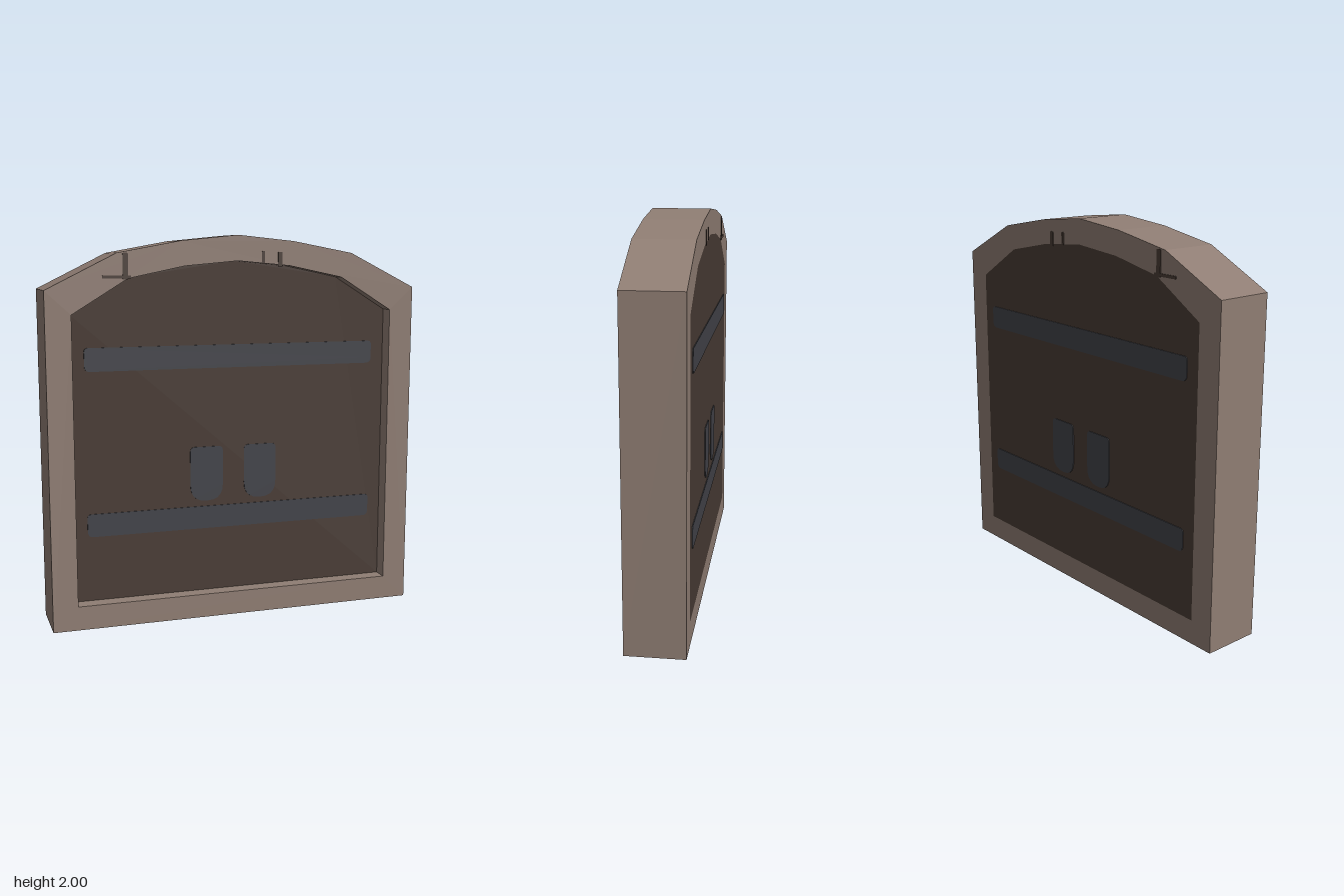
import * as THREE from 'three';

const HALF_DEPTH = 0.15; // half thickness of the frame
const DOOR_FRONT = 0.07; // door is recessed at the front, flush at the back
const PLATE = 0.004;

const mat = (name, color) => new THREE.MeshStandardMaterial({ name, color });

// Symmetric arched outline from the right half, listed from the bottom corner up to the crown
function archPoints(half) {
  const mirrored = half.slice(0, -1).reverse().map(([x, y]) => [-x, y]);
  return [...half, ...mirrored].map(([x, y]) => new THREE.Vector2(x, y));
}

// Rectangle with separate corner radii at the bottom and the top
function roundedShape(x0, y0, x1, y1, rBottom, rTop) {
  const s = new THREE.Shape();
  s.moveTo(x0 + rBottom, y0);
  s.lineTo(x1 - rBottom, y0);
  s.quadraticCurveTo(x1, y0, x1, y0 + rBottom);
  s.lineTo(x1, y1 - rTop);
  s.quadraticCurveTo(x1, y1, x1 - rTop, y1);
  s.lineTo(x0 + rTop, y1);
  s.quadraticCurveTo(x0, y1, x0, y1 - rTop);
  s.lineTo(x0, y0 + rBottom);
  s.quadraticCurveTo(x0, y0, x0 + rBottom, y0);
  return s;
}

export function createModel() {
  const group = new THREE.Group();
  group.name = 'archedDoor';
  const stone = mat('frame brown', 0x8f7d73);
  const wood = mat('dark wood', 0x483b34);
  const iron = mat('iron grey', 0x424349);

  function slab(name, shape, z0, z1, material) {
    const geometry = new THREE.ExtrudeGeometry(shape, { depth: z1 - z0, bevelEnabled: false, curveSegments: 5 });
    const mesh = new THREE.Mesh(geometry, material);
    mesh.name = name;
    mesh.position.z = z0;
    group.add(mesh);
  }

  // The same thin plate on the front and the back
  function plates(name, shape, zFront, material) {
    slab(name + 'Front', shape, zFront, zFront + PLATE, material);
    slab(name + 'Back', shape, -HALF_DEPTH - PLATE, -HALF_DEPTH, material);
  }

  // Frame with an arched opening
  const outer = archPoints([[0.985, 0], [0.985, 1.73], [0.625, 1.91], [0.3, 1.97], [0, 2]]);
  const inner = archPoints([[0.855, 0.125], [0.855, 1.61], [0.57, 1.785], [0.28, 1.845], [0, 1.87]]);
  const frame = new THREE.Shape(outer);
  frame.holes.push(new THREE.Path(inner));
  slab('frame', frame, -HALF_DEPTH, HALF_DEPTH, stone);

  // Door leaf
  slab('doorLeaf', new THREE.Shape(inner), -HALF_DEPTH, DOOR_FRONT, wood);

  // Horizontal iron bands
  plates('lowerBand', roundedShape(-0.785, 0.465, 0.785, 0.585, 0.03, 0.02), DOOR_FRONT, iron);
  plates('upperBand', roundedShape(-0.785, 1.32, 0.785, 1.44, 0.03, 0.02), DOOR_FRONT, iron);

  // Handle plates
  for (const [side, name] of [[-1, 'rightHandlePlate'], [1, 'leftHandlePlate']]) {
    const x = side * 0.148;
    plates(name, roundedShape(x - 0.089, 0.615, x + 0.089, 0.905, 0.085, 0.025), DOOR_FRONT, iron);
  }

  // Dark cracks in the arch
  const cracks = [
    [-0.597, 1.78, -0.57, 1.91], [-0.7, 1.785, -0.555, 1.8],
    [0.127, 1.855, 0.143, 1.92], [0.215, 1.84, 0.238, 1.915],
  ];
  cracks.forEach((c, i) => plates('crack' + (i + 1), roundedShape(...c, 0.005, 0.005), HALF_DEPTH, wood));

  return group;
}
